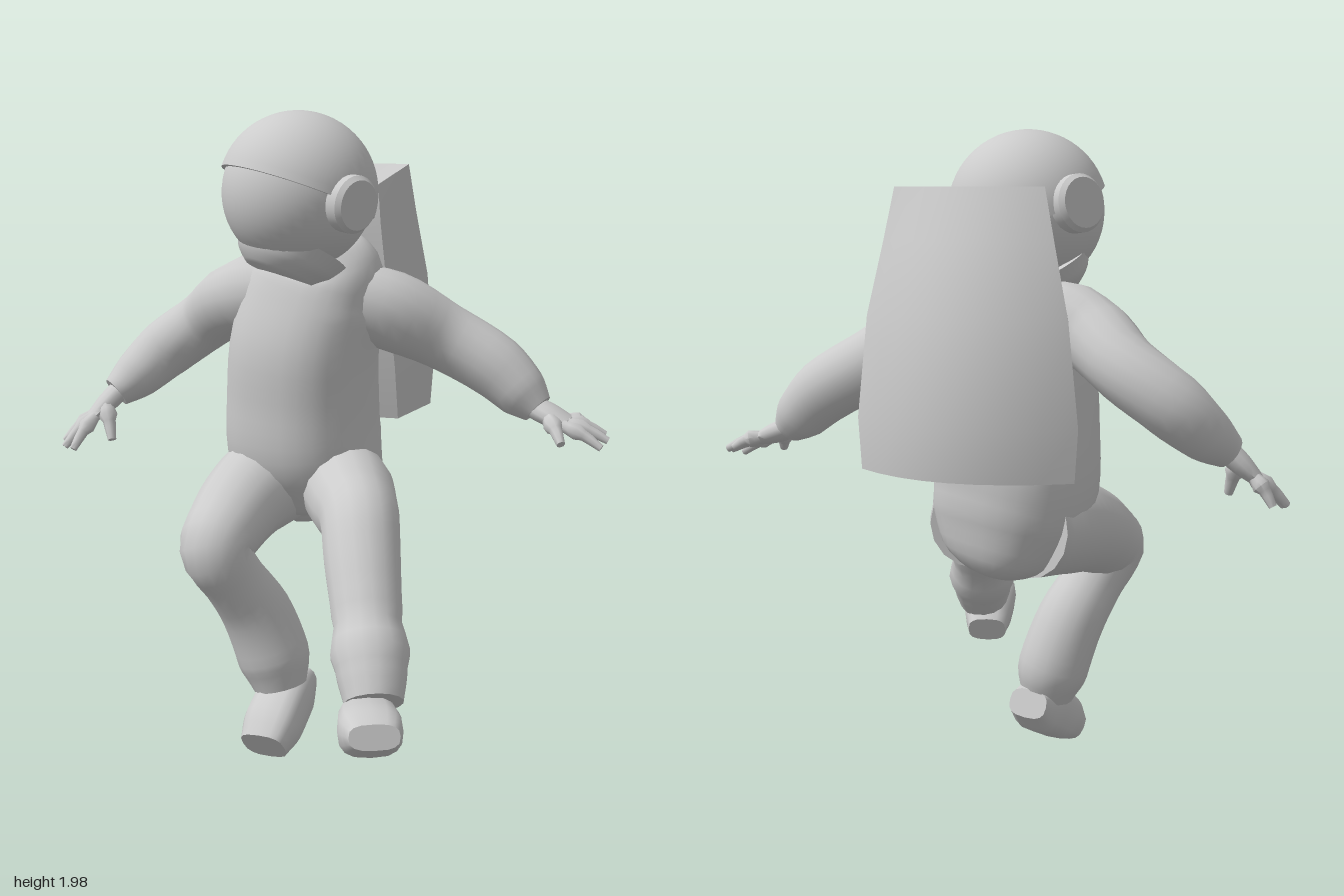
import * as THREE from 'three';
import { toCreasedNormals } from 'three/addons/utils/BufferGeometryUtils.js';

const V = (x, y, z) => new THREE.Vector3(x, y, z);
const material = new THREE.MeshStandardMaterial({ color: 0xcccccc });

function addMesh(parent, name, geometry) {
  const mesh = new THREE.Mesh(geometry, material);
  mesh.name = name;
  parent.add(mesh);
  return mesh;
}

// Closed skin over equal-sized rings of points, capped at both ends
function skin(rings, crease = 1) {
  const n = rings[0].length, last = rings.length - 1, index = [];
  const points = rings.flat();
  for (let i = 0; i < last; i++) {
    for (let j = 0; j < n; j++) {
      const a = i * n + j, b = i * n + (j + 1) % n;
      index.push(a, b, b + n, a, b + n, a + n);
    }
  }
  [rings[0], rings[last]].forEach((ring, end) => {
    const centre = ring.reduce((s, p) => s.add(p), V(0, 0, 0)).divideScalar(n);
    points.push(centre);
    for (let j = 0; j < n; j++) {
      const a = end * last * n + j, b = end * last * n + (j + 1) % n;
      index.push(points.length - 1, end ? a : b, end ? b : a);
    }
  });
  const geometry = new THREE.BufferGeometry().setFromPoints(points);
  geometry.setIndex(index);
  return toCreasedNormals(geometry, crease);
}

// Smooth loft through sections [x, y, z, half width, half height];
// the width follows the side vector, power < 1 makes the sections boxier
function loft(sections, side, { power = 1, sides = 16, steps = 4 } = {}) {
  const path = new THREE.CatmullRomCurve3(sections.map(s => V(s[0], s[1], s[2])));
  const size = new THREE.CatmullRomCurve3(sections.map(s => V(s[3], s[4] ?? s[3], 0)));
  const total = (sections.length - 1) * steps, rings = [];
  const bend = c => Math.sign(c) * Math.abs(c) ** power;
  for (let i = 0; i <= total; i++) {
    const t = i / total, c = path.getPoint(t), r = size.getPoint(t), T = path.getTangent(t);
    const U = side.clone().addScaledVector(T, -side.dot(T)).normalize();
    const W = T.clone().cross(U);
    rings.push(Array.from({ length: sides }, (_, j) => {
      const a = j / sides * Math.PI * 2;
      return c.clone().addScaledVector(U, bend(Math.cos(a)) * r.x).addScaledVector(W, bend(Math.sin(a)) * r.y);
    }));
  }
  return skin(rings);
}

// Palm, four fingers and a thumb
function addHand(parent, name, wrist, knuckles, side, tips, thumb) {
  const hand = new THREE.Group();
  hand.name = name;
  parent.add(hand);
  const at = (p, ...r) => [p.x, p.y, p.z, ...r];
  const middle = wrist.clone().lerp(knuckles, 0.5);
  const s = side.clone().normalize();
  addMesh(hand, 'palm', loft([at(wrist, 0.045, 0.035), at(middle, 0.058, 0.033), at(knuckles, 0.06, 0.022)], s, { sides: 12 }));
  const addDigit = (label, root, tip, r) => {
    const bent = root.clone().lerp(tip, 0.55);
    bent.y += 0.008;
    addMesh(hand, label, loft([at(root, r), at(bent, r), at(tip, r * 0.65)], s, { sides: 8, steps: 3 }));
  };
  tips.forEach((tip, i) => {
    const root = knuckles.clone().addScaledVector(s, (i - 1.5) * 0.031).lerp(wrist, 0.12);
    addDigit('finger', root, tip, 0.018);
  });
  addDigit('thumb', middle.clone().addScaledVector(s, 0.035), thumb, 0.021);
}

function addHelmet(parent) {
  const helmet = new THREE.Group();
  helmet.name = 'helmet';
  helmet.position.set(0, 1.755, -0.025);
  helmet.rotation.set(0, -0.23, -0.11);
  parent.add(helmet);
  addMesh(helmet, 'visor', new THREE.SphereGeometry(0.232, 40, 28));

  // Dome with a thin lip, tipped back so its brim sits above the brow
  const profile = [new THREE.Vector2(0.225, 0)];
  for (let i = 0; i <= 16; i++) {
    const a = i / 16 * Math.PI / 2;
    profile.push(new THREE.Vector2(0.245 * Math.cos(a), 0.245 * Math.sin(a)));
  }
  const dome = addMesh(helmet, 'dome', toCreasedNormals(new THREE.LatheGeometry(profile, 40), 0.7));
  dome.rotation.x = -0.34;

  // Chin guard and neck opening
  addMesh(helmet, 'chinGuard', loft([
    [0, -0.25, 0.05, 0.11, 0.11], [0, -0.215, 0.035, 0.155, 0.15], [0, -0.165, 0.01, 0.185, 0.178],
  ], V(1, 0, 0), { sides: 32 }));

  // Ear discs with a bevelled rim
  const disc = [[0, -0.03], [0.086, -0.03], [0.086, 0.015], [0.074, 0.03], [0, 0.03]].map(p => new THREE.Vector2(...p));
  for (const s of [-1, 1]) {
    const ear = addMesh(helmet, s < 0 ? 'rightEarDisc' : 'leftEarDisc', toCreasedNormals(new THREE.LatheGeometry(disc, 28), 0.6));
    ear.position.set(s * 0.238, 0, 0);
    ear.rotation.z = -s * Math.PI / 2;
  }
}

// Tapered pack with a bulging back, turned slightly about the vertical
function addBackpack(parent) {
  const u = V(0.956, 0, -0.293), n = V(-0.293, 0, -0.956);
  // y, centre x, centre z, half width, bulge, depth, front half width, drop at the front
  const sections = [
    [1.03, -0.18, -0.53, 0.325, 0.12, 0.15, 0.25, 0.03],
    [1.18, -0.18, -0.53, 0.335, 0.135, 0.2, 0.25, 0],
    [1.47, -0.165, -0.51, 0.305, 0.115, 0.22, 0.22, 0],
    [1.68, -0.135, -0.465, 0.26, 0.085, 0.19, 0.19, 0.03],
    [1.83, -0.11, -0.43, 0.23, 0.055, 0.14, 0.165, 0.06],
  ];
  const rings = sections.map(([y, x, z, w, bulge, depth, front, drop]) => {
    const point = (a, b, dy = 0) => V(x, y - dy, z).addScaledVector(u, a).addScaledVector(n, b);
    const ring = [point(-front, -depth, drop), point(0, -depth, drop), point(front, -depth, drop)];
    for (let i = 0; i <= 8; i++) {
      const k = 1 - i / 4;
      ring.push(point(w * k, bulge * (1 - k * k)));
    }
    return ring;
  });
  addMesh(parent, 'backpack', skin(rings, 0.6));
}

export function createModel() {
  const model = new THREE.Group();
  model.name = 'astronaut';

  // Suit body, from seat to neck
  addMesh(model, 'torso', loft([
    [-0.05, 0.69, -0.24, 0.09, 0.08], [-0.06, 0.74, -0.24, 0.18, 0.145], [-0.07, 0.84, -0.215, 0.23, 0.2],
    [-0.08, 0.96, -0.18, 0.24, 0.235], [-0.075, 1.1, -0.165, 0.235, 0.23], [-0.06, 1.26, -0.15, 0.23, 0.222],
    [-0.03, 1.42, -0.16, 0.225, 0.195], [0, 1.52, -0.165, 0.19, 0.165], [0, 1.6, -0.14, 0.11, 0.11],
  ], V(1, 0, 0), { power: 0.85, sides: 28 }));

  addHelmet(model);
  addBackpack(model);

  // Sleeves
  const up = V(0, 1, 0);
  addMesh(model, 'leftArm', loft([
    [0.06, 1.43, -0.17, 0.11], [0.19, 1.385, -0.26, 0.125], [0.32, 1.3, -0.375, 0.107],
    [0.47, 1.21, -0.435, 0.1], [0.56, 1.13, -0.455, 0.083], [0.61, 1.085, -0.46, 0.052],
  ], V(0, 0, 1)));
  addMesh(model, 'rightArm', loft([
    [-0.1, 1.44, -0.13, 0.115], [-0.29, 1.41, -0.11, 0.115], [-0.46, 1.315, -0.15, 0.1],
    [-0.59, 1.22, -0.11, 0.098], [-0.66, 1.13, -0.03, 0.08], [-0.695, 1.08, 0.03, 0.052],
  ], up));

  // Gloves
  addHand(model, 'leftHand', V(0.595, 1.09, -0.46), V(0.71, 1.045, -0.475), V(0.25, -0.1, 1),
    [V(0.755, 1.02, -0.565), V(0.8, 1.01, -0.55), V(0.83, 1, -0.505), V(0.83, 0.985, -0.455)], V(0.735, 1.0, -0.37));
  addHand(model, 'rightHand', V(-0.685, 1.09, 0.02), V(-0.75, 1.0, 0.09), V(0.6, 0, 0.75),
    [V(-0.825, 0.93, 0.06), V(-0.82, 0.92, 0.15), V(-0.79, 0.91, 0.185), V(-0.74, 0.91, 0.2)], V(-0.64, 0.94, 0.12));

  // Trouser legs
  const across = V(1, 0, 0);
  addMesh(model, 'leftLeg', loft([
    [0.03, 0.82, -0.24, 0.14], [0.12, 0.82, -0.13, 0.145], [0.22, 0.81, -0.01, 0.135], [0.31, 0.8, 0.1, 0.12],
    [0.37, 0.71, 0.18, 0.115], [0.44, 0.58, 0.265, 0.105], [0.51, 0.45, 0.35, 0.105], [0.55, 0.37, 0.4, 0.085],
  ], V(0.7, 0, -0.7)));
  addMesh(model, 'rightLeg', loft([
    [-0.17, 0.83, -0.24, 0.15], [-0.17, 0.82, -0.1, 0.155], [-0.16, 0.785, 0.04, 0.14], [-0.135, 0.735, 0.17, 0.125],
    [-0.115, 0.68, 0.255, 0.11], [-0.09, 0.58, 0.2, 0.1], [-0.06, 0.46, 0.12, 0.11], [-0.025, 0.31, 0.075, 0.115],
    [0, 0.21, 0.07, 0.085],
  ], across));

  // Boots
  addMesh(model, 'leftBoot', loft([
    [0.49, 0.275, 0.35, 0.065, 0.045], [0.55, 0.315, 0.43, 0.085, 0.08], [0.62, 0.345, 0.53, 0.09, 0.072],
    [0.68, 0.365, 0.605, 0.07, 0.035],
  ], V(0.75, 0, -0.65), { power: 0.7 }));
  addMesh(model, 'rightBoot', loft([
    [-0.01, 0.205, -0.04, 0.065, 0.045], [0.01, 0.17, 0.05, 0.085, 0.085], [0.03, 0.115, 0.15, 0.09, 0.08],
    [0.04, 0.065, 0.22, 0.075, 0.055],
  ], across, { power: 0.7 }));

  return model;
}
